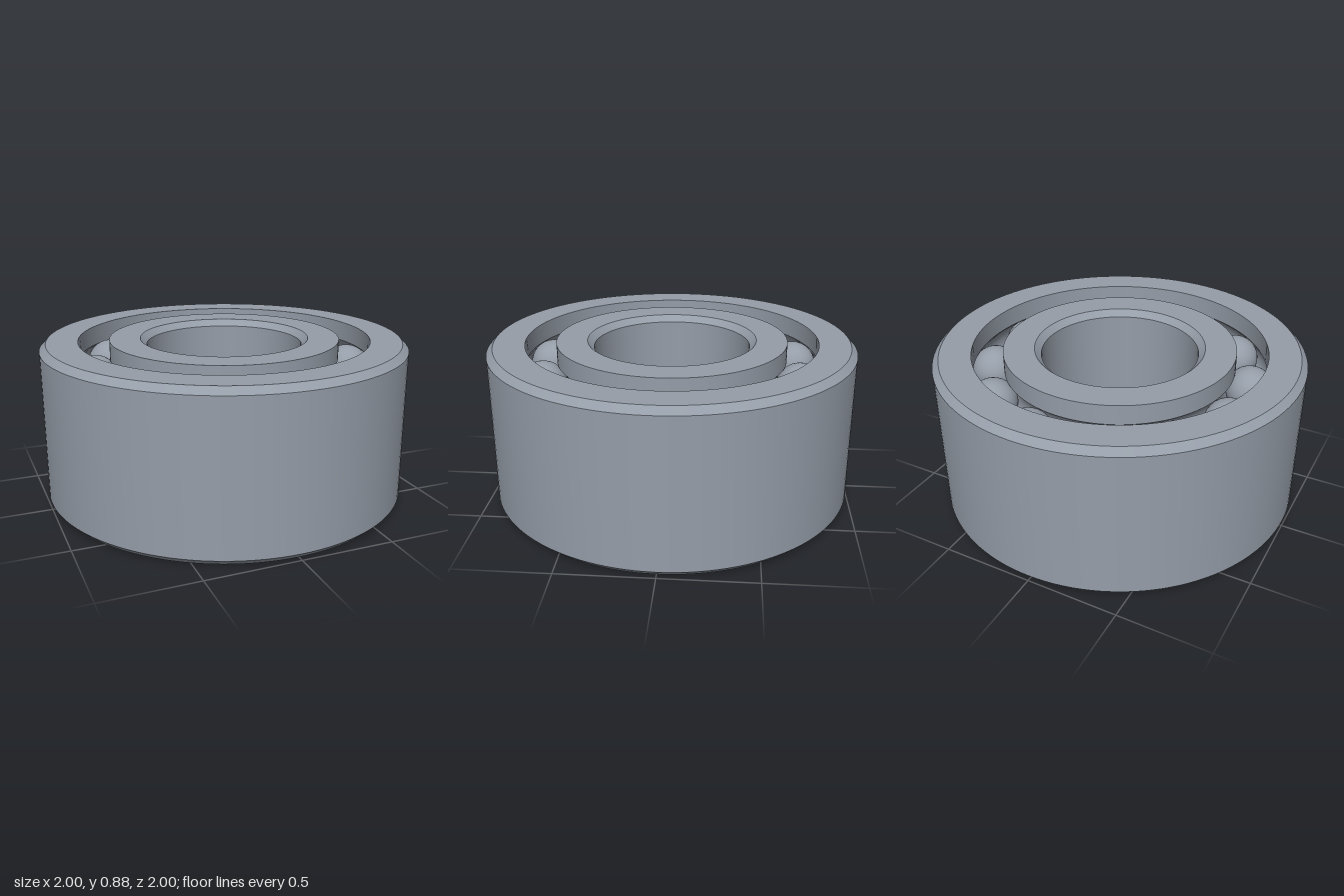
import * as THREE from 'three';
import { toCreasedNormals } from 'three/addons/utils/BufferGeometryUtils.js';

const HEIGHT = 0.875;
const CHAMFER = 0.035;
const PITCH = 0.711;              // radius of the circle the balls run on
const BALL = 0.13;
const GROOVE = 0.132;
const ROWS = [0.21, HEIGHT - 0.21]; // heights of the two ball rows
const COUNT = 12;

// Raceway wall at the given radius, running upwards, with one round groove per row
function raceway(radius) {
  const gap = radius - PITCH;
  const side = Math.sign(gap);
  const half = Math.acos(Math.abs(gap) / GROOVE);
  const points = [new THREE.Vector2(radius, 0)];
  for (const y of ROWS) {
    for (let i = 0; i <= 12; i++) {
      const a = half * (i / 6 - 1);
      points.push(new THREE.Vector2(PITCH + side * GROOVE * Math.cos(a), y + GROOVE * Math.sin(a)));
    }
  }
  points.push(new THREE.Vector2(radius, HEIGHT));
  return points;
}

// Plain wall running upwards, chamfered at both ends; inset is the radius at the faces
function chamferedWall(radius, inset) {
  return [[inset, 0], [radius, CHAMFER], [radius, HEIGHT - CHAMFER], [inset, HEIGHT]]
    .map(([x, y]) => new THREE.Vector2(x, y));
}

// Closed ring: outer wall up, inner wall down
function ring(name, outer, inner, material) {
  const profile = [...outer, ...inner.reverse(), outer[0].clone()];
  const geometry = toCreasedNormals(new THREE.LatheGeometry(profile, 128), 0.5);
  const mesh = new THREE.Mesh(geometry, material);
  mesh.name = name;
  return mesh;
}

export function createModel() {
  const steel = new THREE.MeshStandardMaterial({ color: 0x959da8 });
  steel.name = 'steel grey';

  const model = new THREE.Group();
  model.name = 'doubleRowBallBearing';
  model.add(ring('outerRing', chamferedWall(1, 1 - CHAMFER), raceway(0.795), steel));
  model.add(ring('innerRing', raceway(0.628), chamferedWall(0.425, 0.425 + CHAMFER), steel));

  // Two aligned rows of balls
  const ballGeometry = new THREE.SphereGeometry(BALL, 32, 20);
  ROWS.forEach((y, row) => {
    const balls = new THREE.Group();
    balls.name = row === 0 ? 'lowerBallRow' : 'upperBallRow';
    for (let i = 0; i < COUNT; i++) {
      const a = THREE.MathUtils.degToRad(12 + (360 / COUNT) * i);
      const ball = new THREE.Mesh(ballGeometry, steel);
      ball.name = 'ball';
      ball.position.set(PITCH * Math.sin(a), y, -PITCH * Math.cos(a));
      balls.add(ball);
    }
    model.add(balls);
  });
  return model;
}
